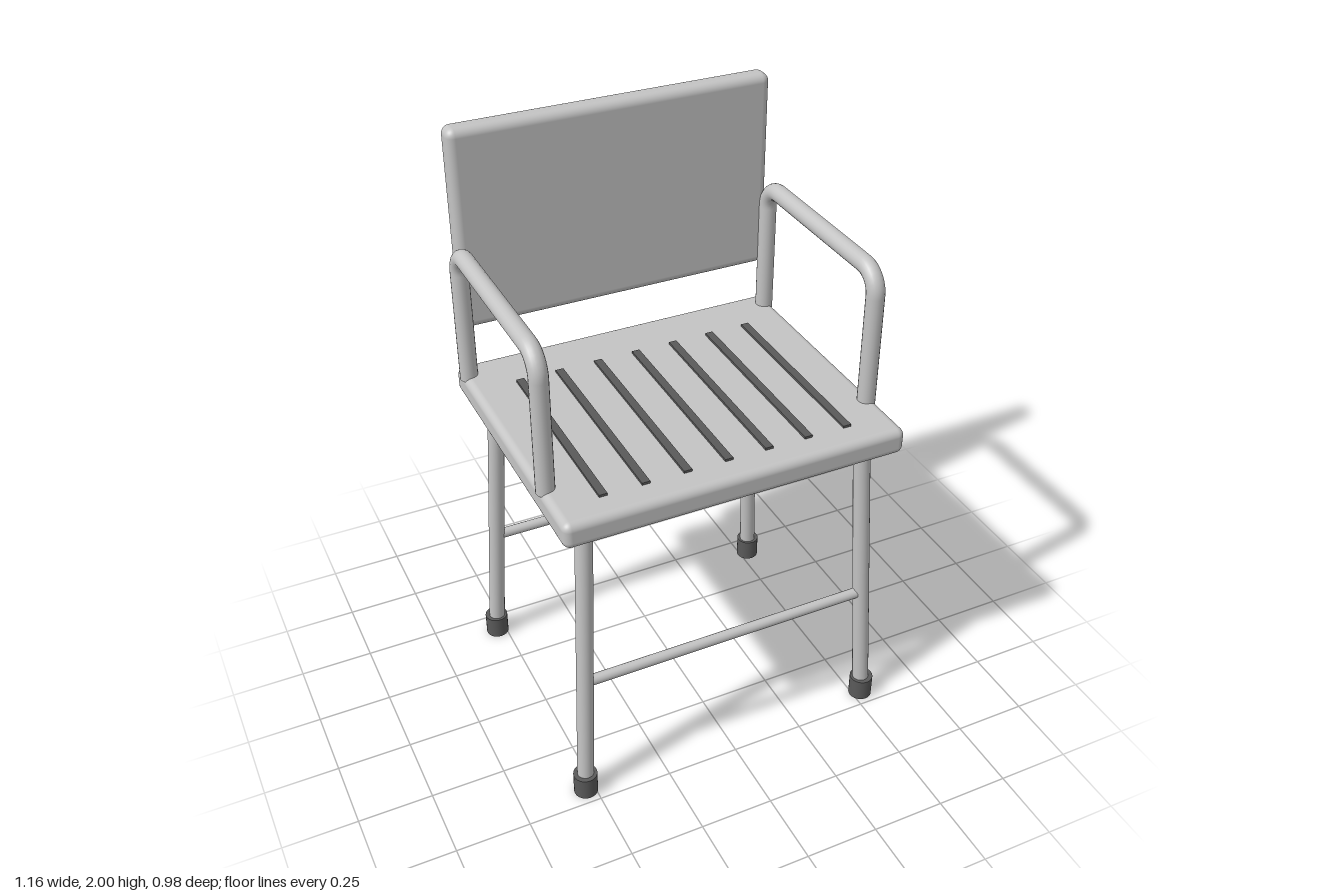
import * as THREE from 'three';
import { RoundedBoxGeometry } from 'three/addons/geometries/RoundedBoxGeometry.js';

const metal = new THREE.MeshStandardMaterial({ name: 'light grey', color: 0xc4c4c4 });
const rubber = new THREE.MeshStandardMaterial({ name: 'dark grey', color: 0x5a5a5a });

export function createModel() {
  const model = new THREE.Group();
  model.name = 'armchair';

  const add = (name, geometry, material, x = 0, y = 0, z = 0) => {
    const mesh = new THREE.Mesh(geometry, material);
    mesh.name = name;
    mesh.position.set(x, y, z);
    model.add(mesh);
    return mesh;
  };

  // Round bar between two points
  const addBar = (name, from, to, radiusFrom, radiusTo = radiusFrom) => {
    const dir = to.clone().sub(from);
    const bar = add(name, new THREE.CylinderGeometry(radiusTo, radiusFrom, dir.length(), 24), metal);
    bar.position.copy(from).add(to).multiplyScalar(0.5);
    bar.quaternion.setFromUnitVectors(new THREE.Vector3(0, 1, 0), dir.normalize());
  };

  // Seat and backrest panels
  add('seat', new RoundedBoxGeometry(1.15, 0.09, 0.963, 4, 0.026), metal, 0, 1.11, 0.008);
  add('backrest', new RoundedBoxGeometry(1.1, 0.685, 0.078, 4, 0.028), metal, 0, 1.6575, -0.452);

  // Dark slats on the seat
  for (let i = -3; i <= 3; i++) {
    add('seatSlat', new THREE.BoxGeometry(0.027, 0.02, 0.69), rubber, i * 0.138, 1.153, 0.053);
  }

  // Bent tube armrests
  const bottom = 1.14, top = 1.61, front = 0.285, back = -0.405, bend = 0.075;
  const p = (y, z) => new THREE.Vector3(0, y, z);
  const path = new THREE.CurvePath();
  const corner = (a, b, c) => {
    const k = 0.5523;
    path.add(new THREE.CubicBezierCurve3(a, a.clone().lerp(b, k), c.clone().lerp(b, k), c));
  };
  path.add(new THREE.LineCurve3(p(bottom, front), p(top - bend, front)));
  corner(p(top - bend, front), p(top, front), p(top, front - bend));
  path.add(new THREE.LineCurve3(p(top, front - bend), p(top, back + bend)));
  corner(p(top, back + bend), p(top, back), p(top - bend, back));
  path.add(new THREE.LineCurve3(p(top - bend, back), p(bottom, back)));
  const armGeometry = new THREE.TubeGeometry(path, 120, 0.03, 20);
  add('leftArmrest', armGeometry, metal, 0.552);
  add('rightArmrest', armGeometry, metal, -0.552);

  // Splayed legs with rubber feet, joined across by a rail at front and back
  for (const [end, zTop, zFoot] of [['front', 0.392, 0.443], ['back', -0.37, -0.42]]) {
    for (const [side, s] of [['Left', 1], ['Right', -1]]) {
      addBar(`${end}${side}Leg`, new THREE.Vector3(s * 0.53, 0.03, zFoot),
        new THREE.Vector3(s * 0.477, 1.08, zTop), 0.028);
      add(`${end}${side}Foot`, new THREE.CylinderGeometry(0.04, 0.04, 0.08, 24), rubber, s * 0.53, 0.04, zFoot);
    }
    const z = THREE.MathUtils.lerp(zFoot, zTop, 0.414);
    addBar(`${end}Rail`, new THREE.Vector3(-0.505, 0.465, z), new THREE.Vector3(0.505, 0.465, z), 0.018);
  }

  return model;
}
